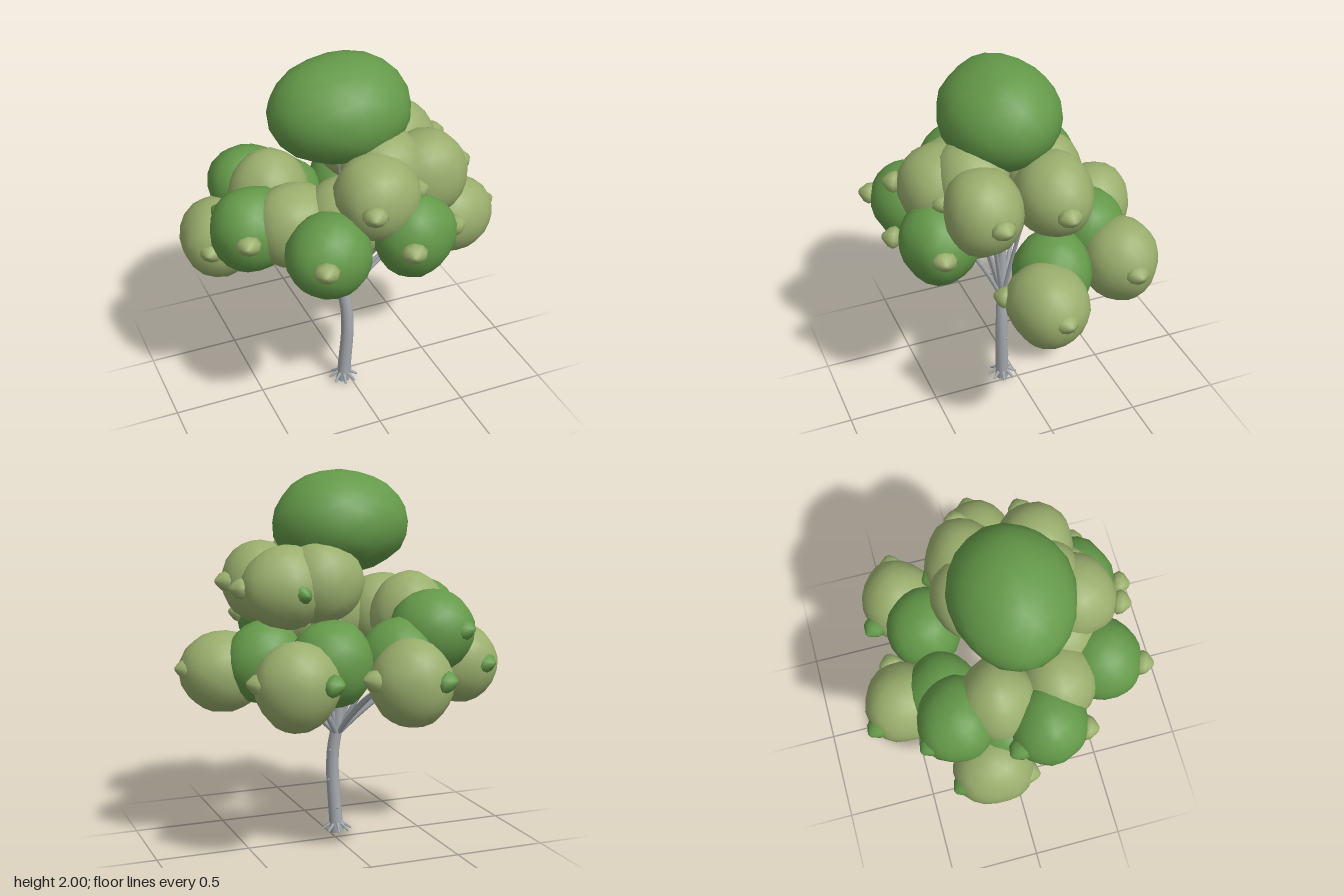
import * as THREE from 'three';
import { mergeVertices } from 'three/addons/utils/BufferGeometryUtils.js';

const V = (p) => new THREE.Vector3(...p);

// Small repeatable random generator
let seed = 7;
const rnd = () => {
  seed = (seed * 16807) % 2147483647;
  return seed / 2147483647;
};

// Tube through points, narrowing from r0 to r1
function taperTube(points, r0, r1, steps = 10, sides = 8) {
  const curve = new THREE.CatmullRomCurve3(points.map(V));
  const geo = new THREE.TubeGeometry(curve, steps, 1, sides);
  const pos = geo.attributes.position;
  const v = new THREE.Vector3();
  for (let i = 0; i <= steps; i++) {
    const c = curve.getPointAt(i / steps);
    const r = r0 + (r1 - r0) * (i / steps);
    for (let j = 0; j <= sides; j++) {
      const k = i * (sides + 1) + j;
      v.fromBufferAttribute(pos, k).sub(c).multiplyScalar(r).add(c);
      pos.setXYZ(k, v.x, v.y, v.z);
    }
  }
  return geo;
}

// Lumpy ellipsoid, drawn out slightly toward each given direction
function lump(radii, noise, pulls = []) {
  let geo = new THREE.IcosahedronGeometry(1, 3);
  geo.deleteAttribute('uv');
  geo.deleteAttribute('normal');
  geo = mergeVertices(geo, 1e-4);
  const pos = geo.attributes.position;
  const v = new THREE.Vector3();
  const a = rnd() * 6, b = rnd() * 6, c = rnd() * 6;
  for (let i = 0; i < pos.count; i++) {
    v.fromBufferAttribute(pos, i);
    let s = 1 + noise * (Math.sin(4 * v.x + a) + Math.sin(5 * v.z + b) + Math.sin(3 * v.y + c)) / 2;
    s += noise * 0.7 * (rnd() - 0.5);
    for (const d of pulls) s += 0.06 * Math.max(0, (v.dot(d) - 0.7) / 0.3);
    pos.setXYZ(i, v.x * s * radii[0], v.y * s * radii[1], v.z * s * radii[2]);
  }
  geo.computeVertexNormals();
  return geo;
}

// Bud along +z: wide rounded foot with a blunt tip
function budGeometry() {
  const profile = [[0, -0.06], [0.045, -0.05], [0.066, -0.022], [0.056, 0.005], [0.032, 0.026], [0.015, 0.04], [0, 0.044]]
    .map(([x, y]) => new THREE.Vector2(x, y));
  return new THREE.LatheGeometry(profile, 10).rotateX(Math.PI / 2).scale(1, 0.83, 1);
}

export function createModel() {
  const mat = (name, color) => {
    const m = new THREE.MeshStandardMaterial({ color });
    m.name = name;
    return m;
  };
  const dark = mat('darkLeaf', 0x649949);
  const light = mat('lightLeaf', 0x9aae6d);
  const bark = mat('bark', 0xa6abb0);

  const tree = new THREE.Group();
  tree.name = 'tree';
  const add = (name, geo, material, parent = tree) => {
    const mesh = new THREE.Mesh(geo, material);
    mesh.name = name;
    parent.add(mesh);
    return mesh;
  };

  // Trunk, its base cap and the leader that carries the crown
  add('trunk', taperTube([[-0.04, 0.003, 0.08], [-0.03, 0.15, 0.085], [-0.018, 0.35, 0.09],
    [-0.02, 0.48, 0.085], [-0.037, 0.6, 0.075]], 0.038, 0.033, 14, 10), bark);
  const cap = add('trunkBase', new THREE.CircleGeometry(0.038, 10), bark);
  cap.rotation.x = Math.PI / 2;
  cap.position.set(-0.04, 0.003, 0.08);
  add('leader', taperTube([[-0.037, 0.58, 0.075], [-0.055, 0.85, 0.07], [-0.05, 1.2, 0.1],
    [-0.05, 1.55, 0.08]], 0.032, 0.018), bark);

  // Roots
  for (let i = 0; i < 8; i++) {
    const a = (i / 8) * Math.PI * 2 + 0.2;
    const at = (r, y) => [-0.04 + r * Math.cos(a), y, 0.08 + r * Math.sin(a)];
    add('root', taperTube([at(0.02, 0.06), at(0.05, 0.04), at(0.08, 0.02)], 0.011, 0.006, 4, 6), bark);
  }

  // Knots on the trunk
  for (const p of [[0.015, 0.31, 0.07], [0.01, 0.48, 0.06], [-0.03, 0.15, 0.046]]) {
    add('knot', new THREE.SphereGeometry(0.007, 6, 5), bark).position.set(...p);
  }

  // Leaf clumps: colour, centre, then buds as [colour, position]
  const clumps = [
    // front
    [dark, [-0.295, 1.165, 0.5], [[light, [-0.39, 1.2, 0.71]]]],
    [dark, [0.165, 1.17, 0.49], [[light, [0.065, 1.2, 0.72]], [light, [0.39, 1.2, 0.54]]]],
    [light, [-0.01, 1.39, 0.43], [[light, [-0.115, 1.41, 0.65]], [light, [0.21, 1.41, 0.47]]]],
    [light, [-0.14, 1.23, 0.32], []],
    [light, [0.09, 1.22, 0.29], []],
    // upper right of the crown
    [light, [0.09, 1.445, 0.29], []],
    [light, [0.31, 1.4, 0.31], [[light, [0.54, 1.41, 0.28]]]],
    [light, [0.31, 1.41, -0.07], [[light, [0.56, 1.41, -0.055]], [dark, [0.27, 1.39, -0.26]]]],
    [light, [0.11, 1.43, -0.09], []],
    // middle left
    [light, [-0.39, 1.24, -0.08], []],
    [light, [-0.37, 1.2, 0.24], []],
    [dark, [-0.56, 1.17, 0.14], [[light, [-0.65, 1.2, 0.34]], [dark, [-0.675, 1.2, -0.05]]]],
    [dark, [-0.43, 1.17, -0.3], [[dark, [-0.54, 1.2, -0.48]], [light, [-0.2, 1.2, -0.29]]]],
    // low ring
    [light, [0.6, 0.96, 0.08], [[light, [0.82, 0.99, 0.07]], [light, [0.48, 0.99, 0.28]]]],
    [dark, [0.41, 1.02, -0.03], []],
    [light, [0.37, 0.96, -0.43], [[light, [0.59, 0.99, -0.43]], [dark, [0.23, 0.99, -0.61]]]],
    [dark, [0.15, 1.04, -0.34], []],
    [light, [-0.2, 0.96, -0.54], [[dark, [-0.32, 0.99, -0.72]], [light, [0.03, 0.99, -0.56]]]],
    [dark, [-0.22, 1.03, -0.33], []],
    [light, [-0.64, 0.97, -0.17], [[dark, [-0.73, 0.99, -0.36]], [light, [-0.75, 0.99, 0.01]]]],
    [dark, [-0.49, 1.03, -0.07], []],
  ];
  const forward = new THREE.Vector3(0, 0, 1);
  for (const [material, centre, buds] of clumps) {
    const group = new THREE.Group();
    group.name = 'leafClump';
    group.position.set(...centre);
    tree.add(group);
    const dirs = buds.map(([, p]) => V(p).sub(group.position).normalize());
    add('foliage', lump([0.215, 0.225, 0.202], 0.035, dirs), material, group);
    buds.forEach(([budMaterial, p], i) => {
      const bud = add('bud', budGeometry(), budMaterial, group);
      bud.position.copy(V(p).sub(group.position));
      bud.quaternion.setFromUnitVectors(forward, dirs[i]);
    });
  }

  // Crown clump
  const crown = add('crown', lump([0.367, 0.277, 0.317], 0.03), dark);
  crown.position.set(-0.055, 1.725, 0.08);

  // Branches, fanning out from the trunk top into the clumps
  const ends = [
    [0.33, 0.88, 0.05], [0.42, 0.93, 0.08], [0.2, 0.88, -0.2], [0.28, 0.92, -0.28],
    [-0.37, 0.87, -0.05], [-0.46, 0.92, -0.1], [-0.13, 0.87, -0.25], [-0.16, 0.92, -0.35],
    [-0.22, 1.08, 0.36], [-0.3, 1.12, 0.2], [-0.33, 1.12, -0.17], [0.08, 1.1, 0.38],
    [0.05, 1.3, 0.3], [0.2, 1.32, 0.25], [0.18, 1.34, -0.02], [-0.27, 1.14, 0.02],
  ];
  for (const e of ends) {
    const s = [-0.036, 0.56, 0.075];
    const mix = (h, y) => [s[0] + (e[0] - s[0]) * h, s[1] + (e[1] - s[1]) * y, s[2] + (e[2] - s[2]) * h];
    add('branch', taperTube([s, mix(0.25, 0.31), mix(0.62, 0.7), e], 0.014, 0.009, 8, 6), bark);
  }
  return tree;
}
